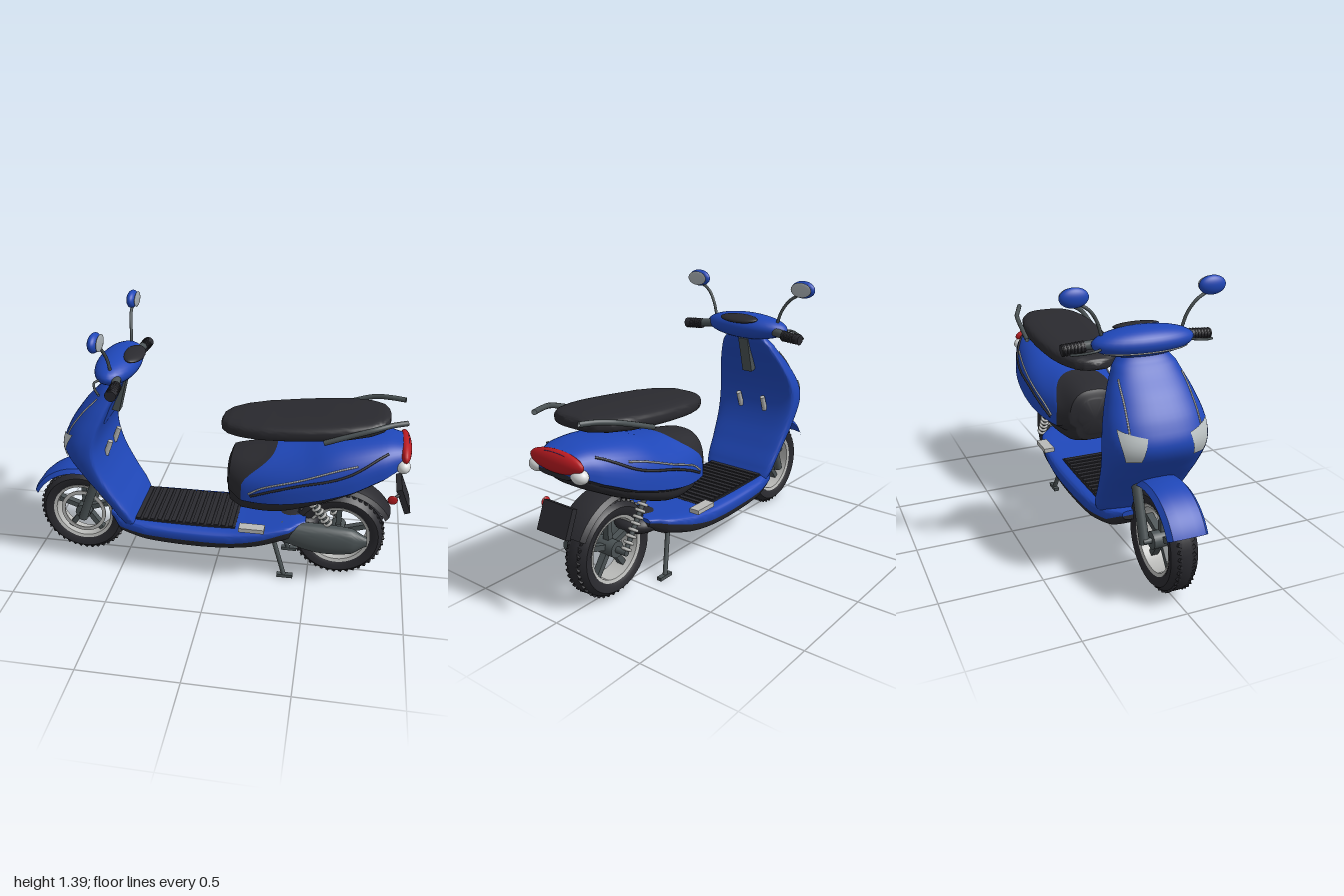
import * as THREE from 'three';
import { toCreasedNormals } from 'three/addons/utils/BufferGeometryUtils.js';

const V = (x, y, z) => new THREE.Vector3(x, y, z);
const mat = (name, color, side = THREE.FrontSide) => {
  const m = new THREE.MeshStandardMaterial({ color, side });
  m.name = name;
  return m;
};

// Smooth interpolation through rows of numbers, with `sub` steps per span
function refine(rows, sub) {
  const spline = (a, b, c, d, t) => {
    const t1 = (c - a) * t;
    const t2 = (2 * a - 5 * b + 4 * c - d) * t * t;
    const t3 = (3 * b - a - 3 * c + d) * t * t * t;
    return 0.5 * (2 * b + t1 + t2 + t3);
  };
  const out = [];
  for (let i = 0; i < rows.length - 1; i++) {
    const a = rows[Math.max(i - 1, 0)], b = rows[i], c = rows[i + 1], d = rows[Math.min(i + 2, rows.length - 1)];
    for (let k = 0; k < sub; k++) {
      const t = k / sub;
      out.push(b.map((v, n) => (n === 0 ? v + (c[0] - v) * t : spline(a[n], v, c[n], d[n], t))));
    }
  }
  out.push(rows[rows.length - 1]);
  return out;
}

// Lofted shell: rows are [station, bottom, middle, top, half width]; `inset` narrows the lower half
function loft(rows, { up = 0.75, down = 0.75, inset = 1, pick = () => 0, warp = (x) => x, turn = false }) {
  const seg = 48, st = refine(rows, 6);
  const pow = (v, e) => Math.sign(v) * Math.pow(Math.abs(v), e);
  const place = ([s, lo, mid, hi, w], a, k = 1) => {
    const sn = Math.sin(a), upper = sn > -1e-6, e = upper ? up : down;
    const y = mid + k * pow(sn, e) * (upper ? hi - mid : mid - lo);
    const z = k * pow(Math.cos(a), e) * w * (upper ? 1 : inset);
    return turn ? V(-y, s, z) : V(warp(s, y), y, z);
  };
  const at = (s, a, k = 1.01) => {
    const i = Math.max(st.findIndex((r) => r[0] >= s), 1);
    const t = (s - st[i - 1][0]) / (st[i][0] - st[i - 1][0]);
    return place(st[i - 1].map((v, n) => v + (st[i][n] - v) * t), a, k);
  };
  const rings = [[st[0], 0], ...st.map((r) => [r, 1]), [st[st.length - 1], 0]];
  const pos = [], parts = [[], []];
  for (const [r, k] of rings) for (let j = 0; j < seg; j++) pos.push(...place(r, j / seg * Math.PI * 2, k).toArray());
  for (let i = 0; i < rings.length - 1; i++) for (let j = 0; j < seg; j++) {
    const a = i * seg + j, b = i * seg + (j + 1) % seg;
    parts[pick(rings[i][0][0], j < seg / 2)].push(a, a + seg, b, b, a + seg, b + seg);
  }
  const g = new THREE.BufferGeometry();
  g.setAttribute('position', new THREE.Float32BufferAttribute(pos, 3));
  g.setIndex([...parts[0], ...parts[1]]);
  g.addGroup(0, parts[0].length, 0);
  g.addGroup(parts[0].length, parts[1].length, 1);
  return { geometry: toCreasedNormals(g, 0.7), at };
}

export function createModel() {
  const model = new THREE.Group();
  const blue = mat('bluePaint', 0x1f47b8, THREE.DoubleSide), black = mat('blackPlastic', 0x2a2a2f, THREE.DoubleSide);
  const grey = mat('darkMetal', 0x4a5254, THREE.DoubleSide), light = mat('lightMetal', 0xb9bab8);
  const red = mat('redLens', 0xb81a20), glass = mat('mirrorGlass', 0xa9b0b4), white = mat('whiteLens', 0xdadddd);
  const lens = mat('headlightLens', 0xbcc3c4, THREE.DoubleSide);
  const sides = [1, -1];

  const add = (name, geo, m, p = [0, 0, 0], parent = model) => {
    const mesh = new THREE.Mesh(geo, m);
    mesh.name = name;
    mesh.position.set(...p);
    parent.add(mesh);
    return mesh;
  };
  const box = (name, m, size, p, parent) => add(name, new THREE.BoxGeometry(...size), m, p, parent);
  const ball = (name, m, r, p) => add(name, new THREE.SphereGeometry(1, 32, 20).scale(...r), m, p);
  const tube = (name, m, r, pts) => add(name, new THREE.TubeGeometry(new THREE.CatmullRomCurve3(pts), 32, r, 10), m);
  const rod = (name, m, r, a, b) => {
    const mesh = add(name, new THREE.CylinderGeometry(r, r, a.distanceTo(b), 16), m, a.clone().lerp(b, 0.5).toArray());
    mesh.quaternion.setFromUnitVectors(V(0, 1, 0), b.clone().sub(a).normalize());
    return mesh;
  };
  // Line lying on a loft, through [station, angle] points
  const flip = (a, s) => (s > 0 ? a : Math.PI - a);
  const trace = (shell, pts, s, k) => new THREE.SplineCurve(pts.map((q) => new THREE.Vector2(...q))).getPoints(24)
    .map((q) => shell.at(q.x, flip(q.y, s), k));
  // Ring turned about the z axis, phi 0 is up and grows toward +x
  const turned = (pts, from = 0, len = Math.PI * 2) => toCreasedNormals(
    new THREE.LatheGeometry(pts.map((q) => new THREE.Vector2(...q)), 48, from, len).rotateX(-Math.PI / 2), 0.6);

  // Wheels
  const tyreGeo = turned([[0.162, -0.05], [0.185, -0.064], [0.212, -0.066], [0.231, -0.045], [0.24, -0.018], [0.24, 0.018],
    [0.231, 0.045], [0.212, 0.066], [0.185, 0.064], [0.162, 0.05], [0.162, -0.05]]);
  const rimGeo = turned([[0.152, -0.05], [0.168, -0.056], [0.168, 0.056], [0.152, 0.05], [0.152, -0.05]]);
  for (const [name, x] of [['frontWheel', -0.743], ['rearWheel', 0.648]]) {
    const w = new THREE.Group();
    w.name = name;
    w.position.set(x, 0.252, 0);
    model.add(w);
    add('tyre', tyreGeo, black, [0, 0, 0], w);
    add('rim', rimGeo, light, [0, 0, 0], w);
    add('hub', new THREE.CylinderGeometry(0.042, 0.042, 0.12, 24).rotateX(Math.PI / 2), grey, [0, 0, 0], w);
    for (let i = 0; i < 5; i++) {
      const a = i / 5 * Math.PI * 2 + 0.3;
      box('spoke', grey, [0.13, 0.028, 0.035], [Math.cos(a) * 0.095, Math.sin(a) * 0.095, 0], w).rotation.z = a;
    }
    for (let i = 0; i < 44; i++) for (const s of sides) {
      const a = (i + (s > 0 ? 0 : 0.5)) / 44 * Math.PI * 2;
      const t = box('treadBlock', black, [0.012, 0.016, 0.034], [Math.cos(a) * 0.233, Math.sin(a) * 0.233, s * 0.026], w);
      t.rotation.set(s * 0.5, s * 0.3, a, 'ZYX');
    }
    if (x < 0) add('brakeDisc', turned([[0.106, -0.003], [0.126, -0.003], [0.126, 0.003], [0.106, 0.003], [0.106, -0.003]]), light, [0, 0, 0.045], w);
  }

  // Fenders
  const fender = (r, w) => [[r - 0.03, -w], [r - 0.008, -w * 0.8], [r, -w * 0.35], [r, w * 0.35], [r - 0.008, w * 0.8], [r - 0.03, w]];
  add('frontFender', turned(fender(0.293, 0.1), -1.08, 1.75), blue, [-0.743, 0.25, 0]);
  add('rearFender', turned(fender(0.305, 0.09), -0.4, 1.45), black, [0.645, 0.25, 0]);

  // Front fairing
  const shield = loft([[0.27, 0.4, 0.43, 0.5, 0.19], [0.33, 0.42, 0.45, 0.54, 0.21], [0.45, 0.49, 0.525, 0.62, 0.225],
    [0.58, 0.555, 0.6, 0.72, 0.24], [0.7, 0.585, 0.635, 0.795, 0.25], [0.8, 0.575, 0.62, 0.77, 0.242],
    [0.92, 0.53, 0.565, 0.69, 0.205], [1.03, 0.48, 0.515, 0.59, 0.155], [1.09, 0.465, 0.49, 0.55, 0.11]], { up: 0.85, down: 0.4, turn: true });
  add('legShield', shield.geometry, [blue, blue]);
  for (const s of sides) {
    // Headlight lens, a trapezoid following the fairing
    const pos = [], idx = [];
    for (let i = 0; i <= 6; i++) for (let j = 0; j <= 6; j++) {
      const u = i / 6, a0 = 0.78 - u * 0.25, a1 = 1.12 + u * 0.1, t = j / 6;
      pos.push(...shield.at(0.665 + u * (0.145 - 0.035 * t), flip(a0 + (a1 - a0) * t, s), 1.03).toArray());
      const k = i * 7 + j;
      if (i < 6 && j < 6) idx.push(k, k + 1, k + 7, k + 1, k + 8, k + 7);
    }
    const g = new THREE.BufferGeometry();
    g.setAttribute('position', new THREE.Float32BufferAttribute(pos, 3));
    g.setIndex(idx);
    g.computeVertexNormals();
    add('headlight', g, lens);
    tube('fairingTrim', light, 0.004, trace(shield, [[0.79, 0.85], [0.85, 0.8], [0.92, 0.7], [0.99, 0.5]], s, 1.01));
    rod('bagHook', light, 0.014, V(-0.58, 0.64, s * 0.08), V(-0.55, 0.72, s * 0.08));
    rod('forkLeg', grey, 0.024, V(-0.735, 0.235, s * 0.088), V(-0.6, 0.6, s * 0.088));
  }
  rod('frontAxle', grey, 0.014, V(-0.743, 0.252, -0.1), V(-0.743, 0.252, 0.1));
  box('steeringStem', grey, [0.05, 0.2, 0.06], [-0.51, 0.97, 0]).rotation.z = -0.25;

  // Handlebar, controls and mirrors
  ball('handlebarCover', blue, [0.107, 0.07, 0.25], [-0.5, 1.13, 0]);
  ball('instrumentPanel', black, [0.05, 0.018, 0.115], [-0.42, 1.18, 0]).rotation.z = -0.2;
  const arc = [-1.2, -0.8, -0.4, 0, 0.4, 0.8, 1.2];
  tube('coverTrim', light, 0.004, arc.map((t) => V(-0.5 - 0.094 * Math.cos(t), 1.096, 0.219 * Math.sin(t))));
  for (const s of sides) {
    rod('handlebarEnd', grey, 0.022, V(-0.46, 1.125, s * 0.2), V(-0.447, 1.118, s * 0.27));
    rod('grip', black, 0.026, V(-0.447, 1.115, s * 0.262), V(-0.442, 1.107, s * 0.37));
    for (let i = 0; i < 7; i++) add('gripRib', new THREE.TorusGeometry(0.025, 0.004, 6, 16), black, [-0.445, 1.114 - i * 0.0012, s * (0.268 + i * 0.016)]);
    tube('brakeLever', grey, 0.006, [V(-0.53, 1.12, s * 0.21), V(-0.555, 1.12, s * 0.25), V(-0.54, 1.11, s * 0.3), V(-0.505, 1.1, s * 0.35)]);
    tube('mirrorStem', grey, 0.008, [V(-0.49, 1.17, s * 0.2), V(-0.495, 1.23, s * 0.22), V(-0.505, 1.29, s * 0.26), V(-0.51, 1.33, s * 0.32)]);
    ball('mirrorShell', blue, [0.028, 0.045, 0.068], [-0.513, 1.355, s * 0.335]);
    ball('mirrorGlass', glass, [0.006, 0.038, 0.06], [-0.487, 1.355, s * 0.335]);
  }

  // Floorboard: painted upper edge over a black belly pan
  const floor = loft([[-0.56, 0.27, 0.295, 0.32, 0.12], [-0.5, 0.22, 0.265, 0.322, 0.18], [-0.35, 0.19, 0.25, 0.312, 0.215], [-0.1, 0.18, 0.245, 0.308, 0.225],
    [0.1, 0.19, 0.25, 0.313, 0.225], [0.25, 0.215, 0.28, 0.332, 0.22], [0.4, 0.26, 0.325, 0.355, 0.19], [0.48, 0.31, 0.34, 0.36, 0.12]],
  { up: 0.35, down: 0.5, inset: 0.95, pick: (s, top) => (top ? 0 : 1) });
  add('floorboard', floor.geometry, [blue, black]);
  box('floorMat', black, [0.54, 0.012, 0.34], [-0.15, 0.31, 0]);
  for (let i = 0; i < 14; i++) box('matRib', black, [0.024, 0.01, 0.33], [-0.4 + i * 0.038, 0.316, 0]);

  // Rear body: painted cover with black front and narrower black underside
  const ramp = THREE.MathUtils.smoothstep;
  const body = loft([[0.065, 0.46, 0.54, 0.65, 0.09], [0.08, 0.42, 0.53, 0.7, 0.14], [0.15, 0.395, 0.5, 0.745, 0.19], [0.33, 0.405, 0.52, 0.775, 0.238],
    [0.52, 0.47, 0.565, 0.81, 0.255], [0.7, 0.55, 0.62, 0.835, 0.238], [0.85, 0.63, 0.685, 0.842, 0.19], [0.96, 0.71, 0.735, 0.825, 0.13]],
  { up: 0.75, down: 0.6, inset: 0.76, pick: (s, top) => (top && s >= 0.149 ? 0 : 1),
    warp: (x, y) => x + 0.17 * ramp(y, 0.58, 0.77) * ramp(x, 0.07, 0.15) * (1 - ramp(x, 0.15, 0.7)) });
  add('rearBody', body.geometry, [blue, black]);
  for (const s of sides) {
    tube('blackStripe', black, 0.006, trace(body, [[0.2, 0.07], [0.32, 0.2], [0.44, 0.3], [0.65, 0.33], [0.76, 0.47], [0.86, 0.75]], s, 1.01));
    tube('paleStripe', light, 0.0045, trace(body, [[0.19, 0.1], [0.3, 0.3], [0.5, 0.48], [0.72, 0.54]], s, 1.012));
    ball('rearIndicator', white, [0.035, 0.034, 0.044], [0.937, 0.735, s * 0.13]);
    tube('grabRail', grey, 0.013, [V(0.55, 0.87, s * 0.212), V(0.66, 0.91, s * 0.208), V(0.78, 0.95, s * 0.198), V(0.86, 0.965, s * 0.165), V(0.935, 0.97, s * 0.135)]);
    box('footPeg', light, [0.13, 0.022, 0.055], [0.215, 0.362, s * 0.232]);
    rod('standLeg', grey, 0.012, V(0.31, 0.23, s * 0.09), V(0.38, 0.02, s * 0.127));
    box('standFoot', grey, [0.085, 0.018, 0.026], [0.385, 0.018, s * 0.128]);
  }
  ball('tailLight', red, [0.033, 0.052, 0.162], [0.945, 0.78, 0]).rotation.z = 0.1;

  // Seat
  const seat = loft([[0.025, 0.832, 0.845, 0.865, 0.03], [0.035, 0.824, 0.847, 0.88, 0.07], [0.07, 0.82, 0.852, 0.893, 0.115], [0.14, 0.822, 0.858, 0.905, 0.155],
    [0.25, 0.828, 0.867, 0.918, 0.185], [0.45, 0.845, 0.885, 0.937, 0.203], [0.65, 0.865, 0.907, 0.955, 0.198], [0.77, 0.882, 0.92, 0.962, 0.168],
    [0.83, 0.893, 0.927, 0.962, 0.125], [0.855, 0.905, 0.932, 0.955, 0.075], [0.863, 0.918, 0.933, 0.945, 0.03]], { up: 0.6, down: 0.55 });
  add('seat', seat.geometry, [black, black]);

  // Drive unit and rear suspension
  const pod = loft([[0.3, 0.3, 0.315, 0.33, 0.02], [0.36, 0.24, 0.3, 0.35, 0.045], [0.55, 0.19, 0.275, 0.352, 0.055],
    [0.72, 0.2, 0.27, 0.34, 0.048], [0.8, 0.25, 0.275, 0.3, 0.02]], { up: 0.9, down: 0.9 });
  add('driveCase', pod.geometry, [grey, grey], [0, 0, 0.125]);
  ball('engineBlock', black, [0.12, 0.055, 0.12], [0.43, 0.31, 0]);
  rod('rearAxle', grey, 0.016, V(0.648, 0.252, -0.12), V(0.648, 0.252, 0.12));
  for (const [z, x, y, n] of [[0.11, 0.6, 0.35, 7], [-0.11, 0.645, 0.26, 9]]) {
    const a = V(0.49, 0.5, z), b = V(x, y, z);
    rod('shockAbsorber', grey, 0.013, a, b);
    for (let i = 0; i < n; i++) {
      const coil = add('springCoil', new THREE.TorusGeometry(0.019, 0.008, 8, 20), light, a.clone().lerp(b, (i + 0.7) / n).toArray());
      coil.quaternion.setFromUnitVectors(V(0, 0, 1), b.clone().sub(a).normalize());
    }
  }

  // Rear plate and reflector
  box('rearPlate', black, [0.03, 0.14, 0.18], [0.962, 0.51, 0]).rotation.z = 0.38;
  ball('reflector', red, [0.025, 0.025, 0.008], [0.905, 0.54, 0.13]);
  rod('reflectorMount', black, 0.008, V(0.905, 0.54, 0.125), V(0.94, 0.545, 0.08));
  return model;
}
